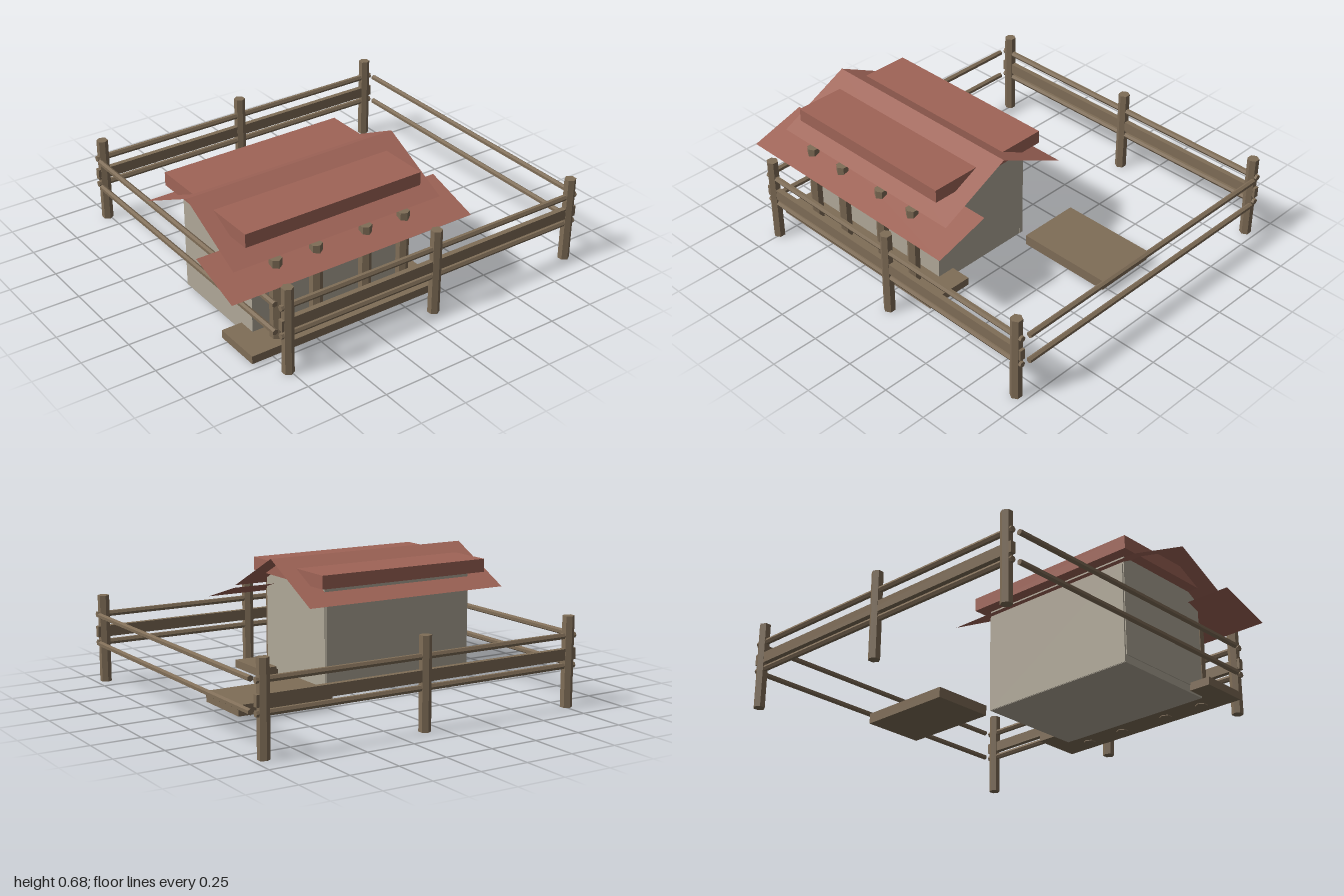
import * as THREE from 'three';

const mat = (color, extra = {}) => new THREE.MeshStandardMaterial({ color, flatShading: true, ...extra });

export function createModel() {
  const group = new THREE.Group();
  const wood = mat(0x7f6d57);
  const wall = mat(0xb0a898);
  const roof = mat(0x9f6457);
  const sheetRoof = mat(0x9f6457, { side: THREE.DoubleSide });

  const add = (name, geometry, material) => {
    const mesh = new THREE.Mesh(geometry, material);
    mesh.name = name;
    group.add(mesh);
    return mesh;
  };

  // Box given by its extents along each axis
  const box = (name, material, [x0, x1], [y0, y1], [z0, z1]) =>
    add(name, new THREE.BoxGeometry(x1 - x0, y1 - y0, z1 - z0), material)
      .position.set((x0 + x1) / 2, (y0 + y1) / 2, (z0 + z1) / 2);

  // Upright six-sided post
  const post = (name, r, x, z, y0, y1) =>
    add(name, new THREE.CylinderGeometry(r, r, y1 - y0, 6), wood).position.set(x, (y0 + y1) / 2, z);

  // Thin sloping sheet running along x from a top edge to an eave
  const sheet = (name, [x0, x1], [yTop, zTop], [yEave, zEave]) => {
    const shape = new THREE.BufferGeometry();
    const corners = [x0, yTop, zTop, x0, yEave, zEave, x1, yEave, zEave, x1, yTop, zTop];
    shape.setAttribute('position', new THREE.Float32BufferAttribute(corners, 3));
    // Keep the outer face pointing up on both slopes
    shape.setIndex(zEave > zTop ? [0, 1, 2, 0, 2, 3] : [0, 2, 1, 0, 3, 2]);
    shape.computeVertexNormals();
    add(name, shape, sheetRoof);
  };

  // House body
  box('houseWalls', wall, [-0.76, 0.13], [0.04, 0.56], [-0.03, 0.56]);
  box('houseFloor', wall, [-0.755, 0.122], [0, 0.04], [-0.035, 0.56]);
  box('backWall', wall, [-0.755, 0.125], [0.002, 0.52], [-0.038, -0.02]);

  // Main roof: thick slab crossed by two sloping sheets
  box('roofSlab', roof, [-0.82, 0.18], [0.56, 0.63], [-0.093, 0.612]);
  sheet('roofFront', [-0.907, 0.278], [0.675, 0.255], [0.48, 0.645]);
  sheet('roofBack', [-0.907, 0.278], [0.675, 0.255], [0.48, -0.135]);

  // Porch
  sheet('porchRoof', [-1, 0.37], [0.5, 0.48], [0.408, 0.775]);
  box('porchDeck', wood, [-0.87, 0.24], [0.01, 0.052], [0.465, 0.725]);
  for (const x of [-0.685, -0.46, -0.175, 0.05]) post('porchPost', 0.032, x, 0.65, 0.005, 0.48);

  // Low platform in the yard
  box('platform', wood, [0.24, 0.76], [0.035, 0.09], [-0.28, 0.055]);

  // Fence: front and back rows with posts, rails and a middle plank
  const railHeights = [0.21, 0.36];
  for (const z of [-0.855, 0.855]) {
    for (const x of [-0.76, 0.09, 0.945]) post('fencePost', 0.03, x, z, 0, 0.46);
    box('fencePlank', wood, [-0.8, 0.985], [0.24, 0.297], [z - 0.014, z + 0.014]);
    for (const y of railHeights) {
      const rail = new THREE.CylinderGeometry(0.016, 0.016, 1.785, 6).rotateZ(Math.PI / 2);
      add('fenceRail', rail, wood).position.set(0.0925, y, z);
    }
  }

  // Fence: side rails
  for (const x of [-0.8, 0.985]) {
    for (const y of railHeights) {
      const rail = new THREE.CylinderGeometry(0.015, 0.015, 1.63, 6).rotateX(Math.PI / 2);
      add('sideRail', rail, wood).position.set(x, y, 0);
    }
  }

  return group;
}
